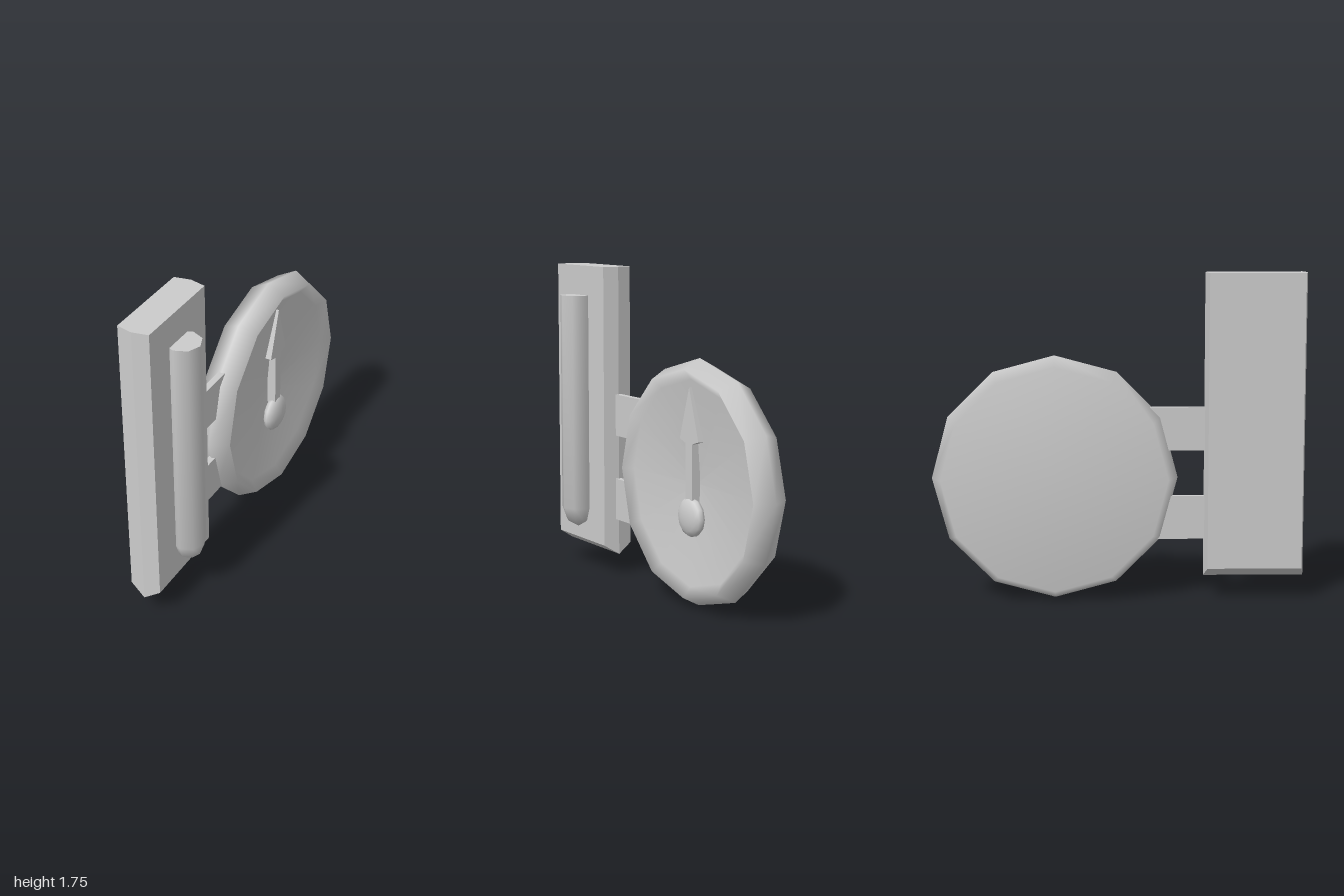
import * as THREE from 'three';
import { toCreasedNormals } from 'three/addons/utils/BufferGeometryUtils.js';

const MID_X = -0.055; // middle plane shared by board, struts and dish
const DISH_Y = 0.66, DISH_Z = -0.34;

const profile = (pairs) => pairs.map(([r, y]) => new THREE.Vector2(r, y));

export function createModel() {
  const group = new THREE.Group();
  const material = new THREE.MeshStandardMaterial({ color: 0xcccccc });
  const add = (name, geometry, x, y, z) => {
    const mesh = new THREE.Mesh(geometry, material);
    mesh.name = name;
    mesh.position.set(x, y, z);
    group.add(mesh);
    return mesh;
  };

  // Board: a box whose middle ridge is pushed out at the sides and bottom
  const board = new THREE.BoxGeometry(0.173, 1.58, 0.505, 2, 1, 1);
  const p = board.attributes.position;
  for (let i = 0; i < p.count; i++) {
    if (Math.abs(p.getX(i)) > 0.01) continue;
    p.setZ(i, p.getZ(i) + Math.sign(p.getZ(i)) * 0.018);
    if (p.getY(i) < 0) p.setY(i, p.getY(i) - 0.055);
  }
  const flatBoard = board.toNonIndexed();
  flatBoard.computeVertexNormals();
  add('backBoard', flatBoard, MID_X, 0.965, 0.729);

  // Tube on the board: eight sides, rounded bottom, flat top
  const tube = new THREE.LatheGeometry(
    profile([[0, 0.25], [0.066, 0.287], [0.095, 0.365], [0.095, 1.588], [0, 1.588]]), 8);
  add('gaugeTube', toCreasedNormals(tube, 1.05), 0.057, 0, 0.727);

  // Struts joining board and dish
  for (const [name, y] of [['upperStrut', 0.924], ['lowerStrut', 0.442]]) {
    add(name, new THREE.BoxGeometry(0.036, 0.234, 0.36), MID_X, y, 0.33);
  }

  // Dish: twelve sides, bevelled rim, shallow bowl at the front
  const dish = new THREE.LatheGeometry(
    profile([[0, -0.1], [0.605, -0.1], [0.658, 0], [0.605, 0.1], [0.55, 0.055], [0, 0.012]]), 12);
  dish.rotateZ(-Math.PI / 2);
  add('dialDish', dish, MID_X, DISH_Y, DISH_Z);

  // Arrow needle and its domed hub
  const half = [[0.03, 0.48], [0.03, 0.875], [0.085, 0.893]];
  const arrow = new THREE.Shape(profile([
    ...half, [0, 1.17], ...half.map(([x, y]) => [-x, y]).reverse(),
  ]));
  const needle = new THREE.ExtrudeGeometry(arrow, { depth: 0.05, bevelEnabled: false });
  needle.rotateY(Math.PI / 2);
  add('needle', needle, -0.038, 0, DISH_Z);

  const hub = new THREE.SphereGeometry(0.107, 12, 8);
  hub.rotateZ(-Math.PI / 2);
  add('needleHub', hub, -0.005, 0.485, DISH_Z).scale.x = 0.43;

  return group;
}
